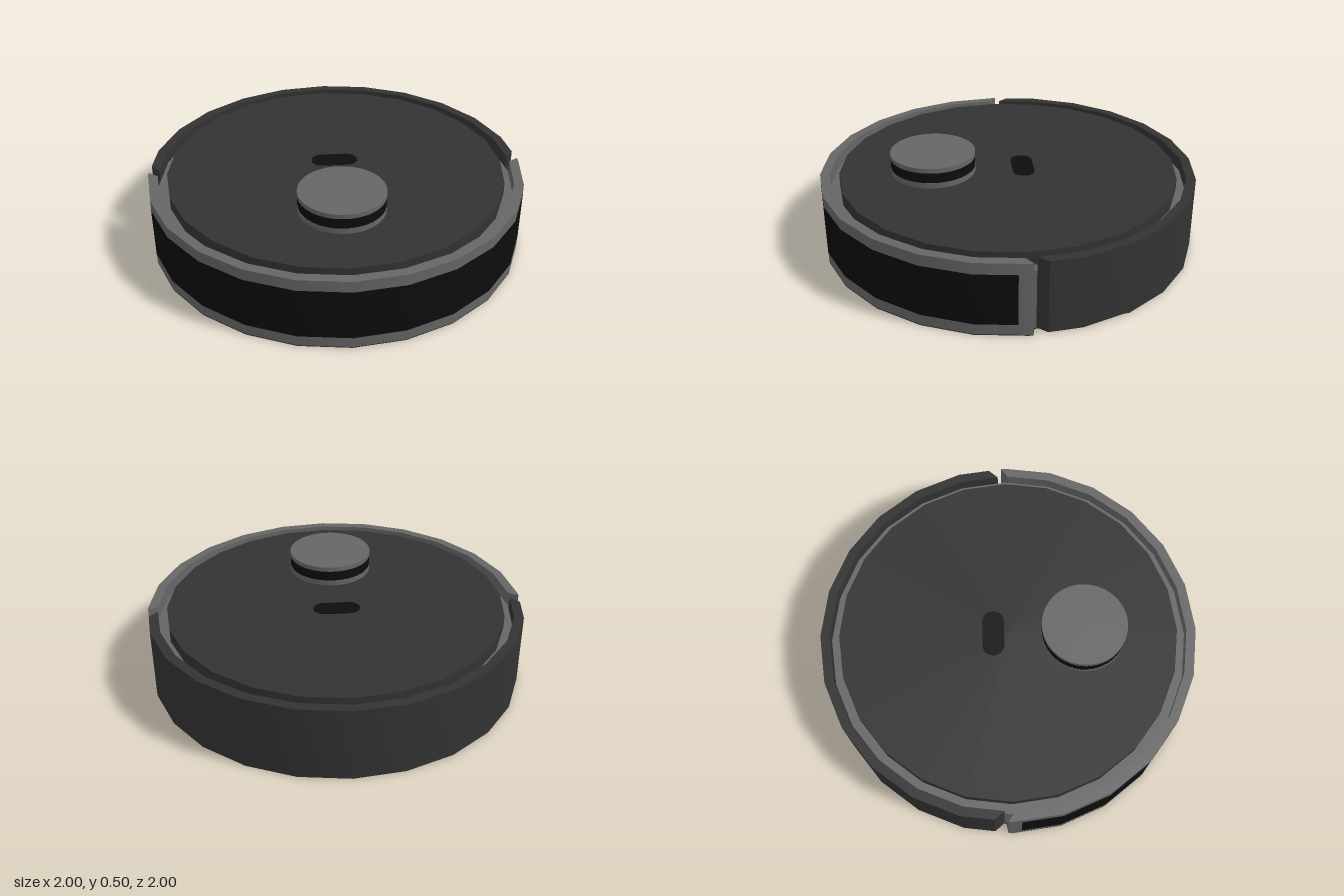
import * as THREE from 'three';
import { toCreasedNormals } from 'three/addons/utils/BufferGeometryUtils.js';

const SIDES = 24;
const TOP = 0.39;
const BASE = 0.005;

const grey = new THREE.MeshStandardMaterial({ color: 0x666666 });
const dark = new THREE.MeshStandardMaterial({ color: 0x333333 });
const black = new THREE.MeshStandardMaterial({ color: 0x0d0d0d });

// Corners of the 24-sided outline, as [x, z]; step 0 is +x, step 6 is the front
function arc(radius, from, to) {
  const points = [];
  const dir = Math.sign(to - from);
  for (let i = from; i !== to + dir; i += dir) {
    const a = (i / SIDES) * Math.PI * 2;
    points.push([radius * Math.cos(a), radius * Math.sin(a)]);
  }
  return points;
}

// Upright prism from a plan outline in x and z
function prism(name, outline, bottom, top, material) {
  const shape = outline instanceof THREE.Shape
    ? outline
    : new THREE.Shape(outline.map(([x, z]) => new THREE.Vector2(x, z)));
  const geometry = new THREE.ExtrudeGeometry(shape, { depth: top - bottom, bevelEnabled: false, curveSegments: 16 });
  geometry.rotateX(Math.PI / 2).translate(0, top, 0);
  const mesh = new THREE.Mesh(toCreasedNormals(geometry, 0.5), material);
  mesh.name = name;
  return mesh;
}

function disc(name, radius, bottom, top, sides, material, z = 0) {
  const mesh = new THREE.Mesh(new THREE.CylinderGeometry(radius, radius, top - bottom, sides), material);
  mesh.position.set(0, (bottom + top) / 2, z);
  mesh.name = name;
  return mesh;
}

export function createModel() {
  const model = new THREE.Group();
  model.name = 'robotVacuum';

  // Inner body, whose rim is the floor of the groove around the deck
  model.add(disc('body', 0.95, BASE, 0.32, SIDES, grey));
  model.add(disc('deck', 0.9, 0.32, TOP, SIDES, dark));

  // Front bumper with slanted ends
  model.add(prism('frontBumper', [
    [0.998, -0.02], ...arc(1, 0, 12), [-0.998, -0.02],
    [-0.948, 0.015], ...arc(0.95, 11, 1), [0.948, 0.015],
  ], BASE, TOP, grey));

  // Dark window wrapped around the bumper
  model.add(prism('bumperWindow', [
    [0.9945, 0.05], ...arc(1.001, 1, 11), [-0.9945, 0.05],
    [-0.985, 0.05], ...arc(0.99, 11, 1), [0.985, 0.05],
  ], 0.06, 0.33, black));

  // Rear shell, separated from the bumper by a gap at each side
  model.add(prism('rearShell', [
    [-0.988, -0.09], ...arc(1, 13, 23), [0.988, -0.09],
    [0.945, -0.04], ...arc(0.95, 23, 13), [-0.945, -0.04],
  ], BASE, TOP, dark));

  // Underside plate, cut in beside the gaps
  model.add(prism('bottomPlate', [
    [0.998, -0.02], ...arc(1, 0, 12), [-0.998, -0.02], [-0.95, -0.03],
    ...arc(1, 14, 22), [0.95, -0.03],
  ], 0, BASE, dark));

  // Sensor turret
  const turret = new THREE.Group();
  turret.name = 'sensorTurret';
  turret.add(
    disc('turretBase', 0.225, TOP, 0.42, 48, grey, 0.4),
    disc('turretWindow', 0.224, 0.42, 0.475, 48, black, 0.4),
    disc('turretCap', 0.225, 0.475, 0.5, 48, grey, 0.4),
  );
  model.add(turret);

  // Pill-shaped button plate
  const pill = new THREE.Shape();
  pill.absarc(0.067, -0.08, 0.058, -Math.PI / 2, Math.PI / 2, false);
  pill.absarc(-0.067, -0.08, 0.058, Math.PI / 2, Math.PI * 1.5, false);
  model.add(prism('buttonPlate', pill, TOP - 0.01, TOP + 0.002, black));

  return model;
}
